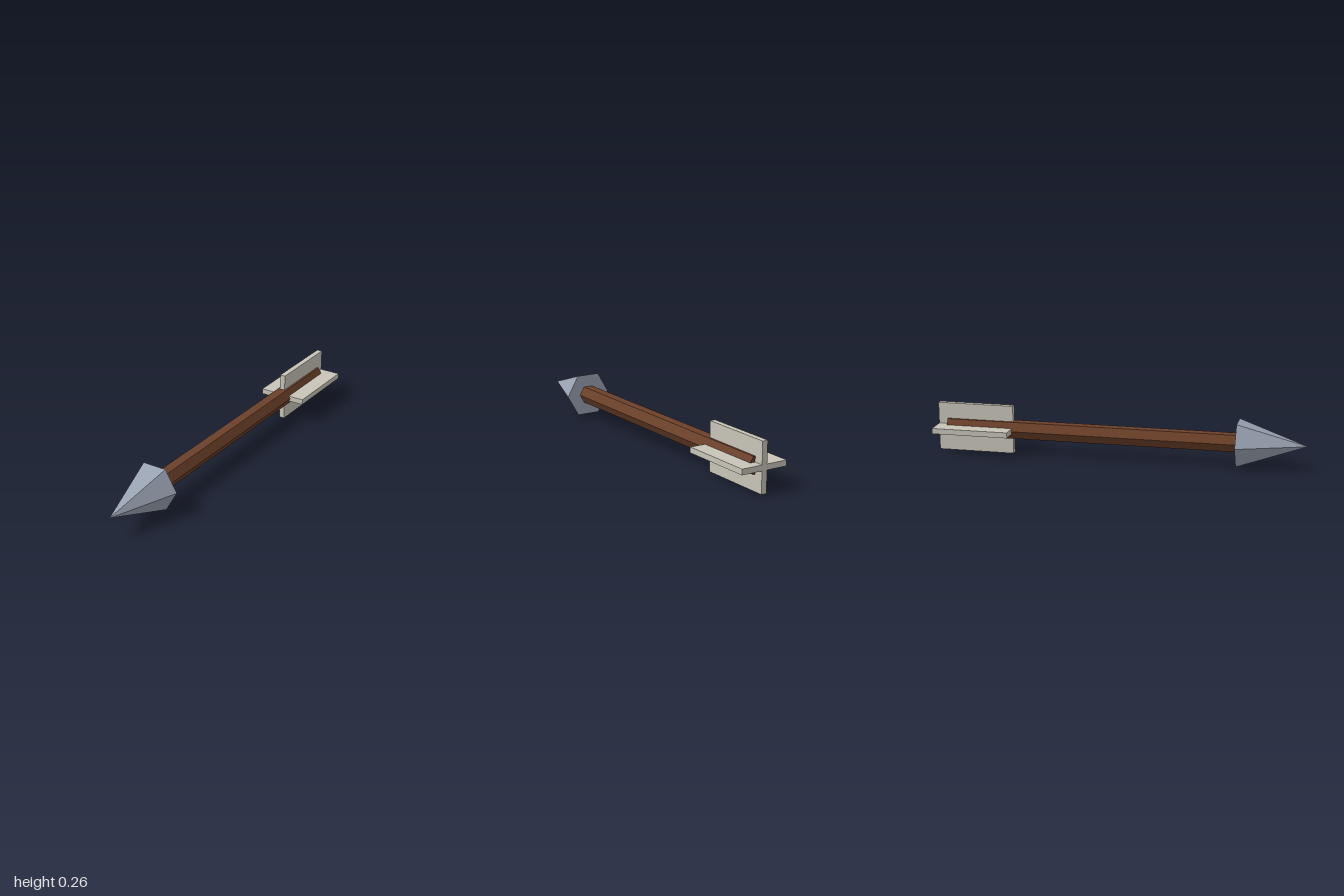
import * as THREE from 'three';

const AXIS_Y = 0.1315;

function material(name, color) {
  const m = new THREE.MeshStandardMaterial({ color, flatShading: true });
  m.name = name;
  return m;
}

// Six-sided cylinder or cone along z, with corners on the left and right
function hexBar(rFront, rBack, zFront, zBack) {
  const g = new THREE.CylinderGeometry(rFront, rBack, zFront - zBack, 6, 1, false, Math.PI / 6);
  g.rotateX(Math.PI / 2);
  g.translate(0, 0, (zFront + zBack) / 2);
  return g;
}

export function createModel() {
  const steel = material('steel', 0x9aa3b3);
  const wood = material('wood', 0x6b4029);
  const feather = material('feather', 0xc8c4b8);

  const arrow = new THREE.Group();
  arrow.name = 'arrow';
  const add = (name, geometry, mat) => {
    const mesh = new THREE.Mesh(geometry, mat);
    mesh.name = name;
    mesh.position.y = AXIS_Y;
    arrow.add(mesh);
    return mesh;
  };

  // Pointed head and shaft
  add('head', hexBar(0, 0.1315, 1, 0.635), steel);
  add('shaft', hexBar(0.0525, 0.0525, 0.64, -0.947), wood);

  // Two crossed plates make the four tail fins
  const fin = new THREE.BoxGeometry(0.263, 0.03, 0.42).translate(0, 0, -0.79);
  add('horizontalFins', fin, feather);
  add('verticalFins', fin, feather).rotation.z = Math.PI / 2;

  return arrow;
}
